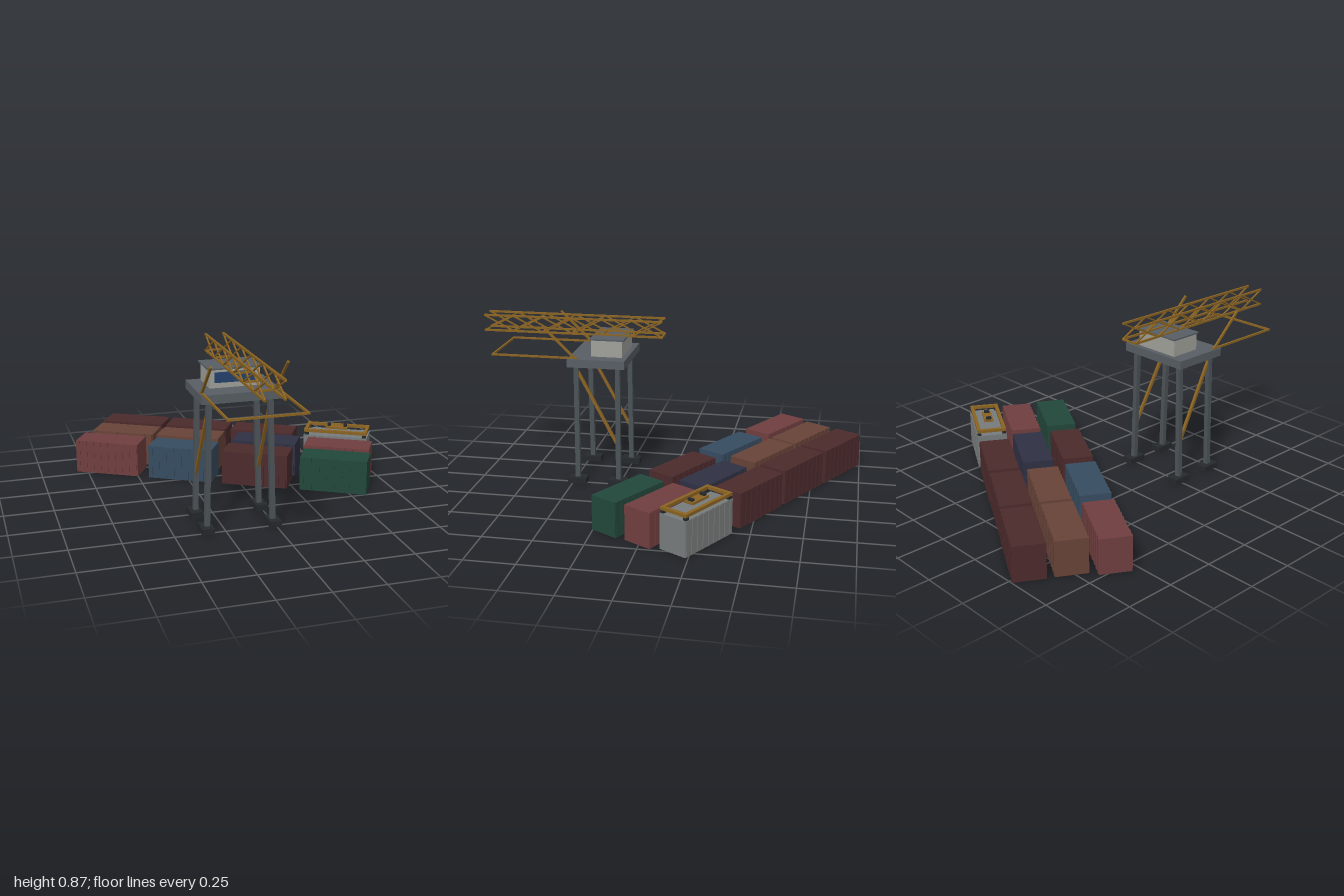
import * as THREE from 'three';

const material = (color) => new THREE.MeshStandardMaterial({ color });
const yellow = material(0x8a6322);
const steel = material(0x4b5357);
const deckGrey = material(0x575e64);
const dark = material(0x25292c);
const cabinGrey = material(0xa0a19a);
const glass = material(0x24426c);

function box(parent, name, size, pos, mat) {
  const mesh = new THREE.Mesh(new THREE.BoxGeometry(...size), mat);
  mesh.name = name;
  mesh.position.set(...pos);
  parent.add(mesh);
  return mesh;
}

// Square bar running from point a to point b
function beam(parent, name, a, b, thickness, mat = yellow) {
  const from = new THREE.Vector3(...a);
  const to = new THREE.Vector3(...b);
  const mesh = new THREE.Mesh(new THREE.BoxGeometry(thickness, thickness, from.distanceTo(to)), mat);
  mesh.name = name;
  mesh.position.copy(from).add(to).multiplyScalar(0.5);
  mesh.lookAt(to);
  parent.add(mesh);
}

function group(parent, name) {
  const g = new THREE.Group();
  g.name = name;
  parent.add(g);
  return g;
}

const ANGLE = -Math.PI / 6; // the container yard is turned against the crane
const LENGTH = 0.352, WIDTH = 0.152, HEIGHT = 0.18;

function addContainer(parent, x, z, mat) {
  const g = group(parent, 'container');
  g.position.set(x, 0, z);
  g.rotation.y = ANGLE;
  box(g, 'containerBody', [LENGTH, HEIGHT, WIDTH], [0, HEIGHT / 2, 0], mat);
  // Upright ribs along both long sides
  for (const side of [-1, 1]) {
    for (let i = -4; i <= 4; i++) {
      box(g, 'sideRib', [0.018, HEIGHT - 0.004, 0.006], [i * 0.0405, HEIGHT / 2, side * WIDTH / 2], mat);
    }
  }
}

function addYard(parent) {
  const yard = group(parent, 'containerYard');
  const maroon = material(0x4c2a2c), brown = material(0x684338), red = material(0x703e3f);
  const blue = material(0x364c60), navy = material(0x2f3043), green = material(0x22473b);
  const grey = material(0x777b7b);
  const places = [
    [-0.405, -0.843, maroon], [-0.08, -0.653, maroon], [0.251, -0.465, maroon], [0.614, -0.259, grey],
    [-0.497, -0.675, brown], [-0.172, -0.489, brown], [0.204, -0.28, navy], [0.55, -0.079, red],
    [-0.616, -0.521, red], [-0.257, -0.312, blue], [0.098, -0.106, maroon], [0.463, 0.1, green],
  ];
  for (const [x, z, mat] of places) addContainer(yard, x, z, mat);
}

// Lifting frame lying on one container
function addSpreader(parent) {
  const g = group(parent, 'spreader');
  g.position.set(0.614, 0, -0.259);
  g.rotation.y = ANGLE;
  for (const s of [-1, 1]) {
    box(g, 'longRail', [0.345, 0.016, 0.018], [0, 0.204, s * 0.067], yellow);
    box(g, 'endRail', [0.018, 0.016, 0.152], [s * 0.165, 0.204, 0], yellow);
    box(g, 'pulleyBlock', [0.016, 0.012, 0.028], [s * 0.045, 0.225, 0], dark);
    for (const t of [-1, 1]) {
      box(g, 'lockFoot', [0.022, 0.02, 0.018], [s * 0.16, 0.188, t * 0.066], dark);
    }
  }
  box(g, 'centrePlate', [0.12, 0.012, 0.048], [0, 0.213, 0], yellow);
}

function addTower(parent) {
  const g = group(parent, 'tower');
  const cx = -0.173;
  for (const s of [-1, 1]) {
    for (const z of [0.475, 0.255]) {
      box(g, 'foot', [0.06, 0.03, 0.1], [cx + s * 0.167, 0.015, z], dark);
      beam(g, 'leg', [cx + s * 0.164, 0.02, z], [cx + s * 0.149, 0.645, z], 0.025, steel);
    }
    beam(g, 'legBrace', [cx + s * 0.15, 0.61, 0.468], [cx + s * 0.16, 0.21, 0.255], 0.014);
  }
  box(g, 'deck', [0.387, 0.043, 0.302], [cx, 0.661, 0.363], deckGrey);

  // Cabin with front window
  const cabin = group(g, 'cabin');
  box(cabin, 'cabinWalls', [0.245, 0.09, 0.164], [-0.175, 0.726, 0.32], cabinGrey);
  box(cabin, 'cabinRoof', [0.262, 0.008, 0.18], [-0.175, 0.774, 0.317], deckGrey);
  box(cabin, 'frontWindow', [0.195, 0.05, 0.008], [-0.176, 0.733, 0.403], glass);

  // Front loop and its raised stays
  for (const x of [-0.355, 0.005]) {
    beam(g, 'loopArm', [x, 0.685, 0.46], [x, 0.685, 0.918], 0.01);
    beam(g, 'raisedStay', [x, 0.68, 0.47], [x, 0.848, 0.643], 0.011);
  }
  beam(g, 'loopBar', [-0.36, 0.685, 0.915], [0.01, 0.685, 0.915], 0.01);
}

// Twin lattice trusses joined by rungs
function addBoom(parent) {
  const g = group(parent, 'boom');
  const low = 0.78, high = 0.861, back = 0.042, panels = 6;
  const step = (1 - back) / panels;
  for (const x of [-0.22, -0.13]) {
    for (const y of [low, high]) beam(g, 'chord', [x, y, back], [x, y, 1], 0.01);
    for (let i = 0; i < panels; i++) {
      const z0 = back + i * step, z1 = z0 + step;
      beam(g, 'diagonal', [x, low, z0], [x, high, z1], 0.007);
      beam(g, 'diagonal', [x, high, z0], [x, low, z1], 0.007);
    }
  }
  for (let i = 0; i < panels; i++) {
    const z = back + i * step;
    beam(g, 'rung', [-0.22, low, z], [-0.13, low, z], 0.009);
  }
}

export function createModel() {
  const model = new THREE.Group();
  model.name = 'containerCraneYard';
  addYard(model);
  addSpreader(model);
  addTower(model);
  addBoom(model);
  return model;
}
